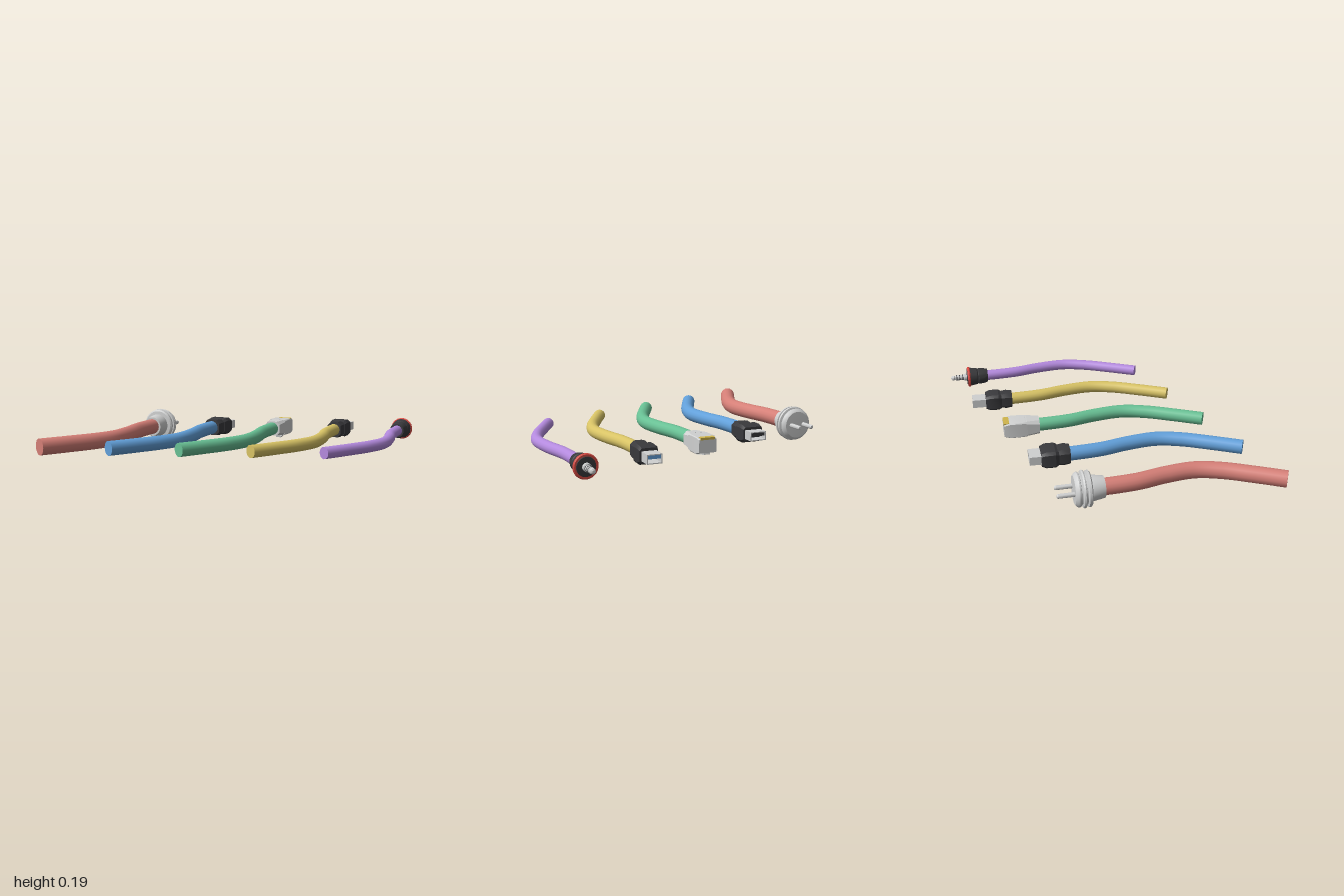
import * as THREE from 'three';
import { toCreasedNormals } from 'three/addons/utils/BufferGeometryUtils.js';

const mat = (name, color) => {
  const m = new THREE.MeshStandardMaterial({ color });
  m.name = name;
  return m;
};

export function createModel() {
  const M = {
    red: mat('red cable', 0xd57f77), blue: mat('blue cable', 0x62a0da),
    green: mat('green cable', 0x68c094), yellow: mat('yellow cable', 0xd8c365),
    purple: mat('purple cable', 0xb48ade), black: mat('black rubber', 0x39393c),
    grey: mat('light grey', 0xcfd0d0), gold: mat('gold contacts', 0xd0b54c),
    ring: mat('red ring', 0xdb4a42),
  };
  const root = new THREE.Group();
  root.name = 'cables';

  const add = (parent, name, geometry, material, x = 0, y = 0, z = 0) => {
    const mesh = new THREE.Mesh(geometry, material);
    mesh.name = name;
    mesh.position.set(x, y, z);
    parent.add(mesh);
    return mesh;
  };

  // Turned part: profile of [radius, distance along the plug]; plugs point to -z
  const turned = (profile, sides = 28) => toCreasedNormals(
    new THREE.LatheGeometry(profile.map(([r, t]) => new THREE.Vector2(r, t)), sides)
      .rotateX(-Math.PI / 2), 0.5);

  // Chamfered loft: sections of [distance, half width, half height, chamfer]
  const loft = (sections) => {
    const pos = [], idx = [];
    for (const [t, w, h, c] of sections) {
      for (const [x, y] of [[w, c - h], [w, h - c], [w - c, h], [c - w, h],
        [-w, h - c], [-w, c - h], [c - w, -h], [w - c, -h]]) pos.push(x, y, -t);
    }
    const last = (sections.length - 1) * 8;
    for (let s = 0; s < last; s += 8) {
      for (let i = 0; i < 8; i++) {
        const j = (i + 1) % 8;
        idx.push(s + i, s + 8 + i, s + j, s + 8 + i, s + 8 + j, s + j);
      }
    }
    for (let i = 1; i < 7; i++) idx.push(0, i, i + 1, last, last + i + 1, last + i);
    const g = new THREE.BufferGeometry();
    g.setAttribute('position', new THREE.Float32BufferAttribute(pos, 3));
    g.setIndex(idx);
    return toCreasedNormals(g, 0.4);
  };

  // Hollow metal sleeve
  const sleeve = (w, h, wall, length) => {
    const rect = (S, a, b) => new S([[-a, -b], [a, -b], [a, b], [-a, b]]
      .map((p) => new THREE.Vector2(...p)));
    const shape = rect(THREE.Shape, w, h);
    shape.holes.push(rect(THREE.Path, w - wall, h - wall));
    return new THREE.ExtrudeGeometry(shape, { depth: length, bevelEnabled: false });
  };

  // All cables share one bend
  const path = new THREE.CatmullRomCurve3([
    [0, 0.52], [0.12, 0.4], [0.23, 0.282], [0.305, 0.165], [0.342, 0.01],
    [0.36, -0.15], [0.404, -0.32], [0.414, -0.35],
  ].map(([x, z]) => new THREE.Vector3(x, 0, z)));

  const powerPlug = (g) => {
    add(g, 'plugBody', turned([
      [0, 0], [0.056, 0], [0.066, 0.055], [0.066, 0.068], [0.085, 0.07], [0.093, 0.076],
      [0.093, 0.088], [0.078, 0.092], [0.078, 0.098], [0.094, 0.101], [0.097, 0.107],
      [0.094, 0.115], [0.078, 0.119], [0.078, 0.125], [0.088, 0.128], [0.09, 0.136],
      [0.085, 0.146], [0.074, 0.155], [0, 0.157],
    ], 32), M.grey);
    for (const s of [-1, 1]) {
      add(g, 'prong', turned([[0, 0.15], [0.012, 0.15], [0.012, 0.239], [0.008, 0.246],
        [0, 0.247]], 14), M.grey, s * 0.039);
    }
  };

  const dataPlug = (w, tip, tongue) => (g) => {
    add(g, 'strainRelief', loft([[0, w * 0.78, 0.045, 0.02], [0.035, w * 0.86, 0.048, 0.02],
      [0.078, w * 0.8, 0.04, 0.016]]), M.black);
    add(g, 'plugBody', loft([[0.062, w * 0.86, 0.04, 0.012], [0.08, w, 0.048, 0.014],
      [0.13, w, 0.048, 0.014], [0.155, w * 0.9, 0.038, 0.012]]), M.black);
    const mw = w * 0.73;
    add(g, 'metalSleeve', sleeve(mw, 0.024, 0.005, tip - 0.14), M.grey, 0, 0, -tip);
    add(g, 'tongue', new THREE.BoxGeometry(mw * 1.8, 0.018, tip - 0.148), tongue,
      0, 0.008, -(tip + 0.132) / 2);
  };

  const networkPlug = (g) => {
    add(g, 'strainRelief', loft([[0, 0.046, 0.042, 0.018], [0.08, 0.052, 0.046, 0.012]]), M.grey);
    add(g, 'plugBody', loft([[0.07, 0.052, 0.046, 0.01], [0.095, 0.053, 0.045, 0.005],
      [0.165, 0.053, 0.045, 0.004], [0.2, 0.048, 0.036, 0.004]]), M.grey);
    add(g, 'contacts', new THREE.BoxGeometry(0.08, 0.012, 0.04), M.gold, 0, 0.038, -0.181);
    // Sloping latch under the body
    add(g, 'latch', new THREE.BoxGeometry(0.034, 0.008, 0.1), M.grey, 0, -0.052, -0.14)
      .rotation.x = 0.18;
  };

  const audioPlug = (g) => {
    add(g, 'strainRelief', turned([[0, 0], [0.04, 0], [0.046, 0.022], [0.05, 0.055],
      [0.045, 0.06], [0.05, 0.066], [0.057, 0.112], [0, 0.112]]), M.black);
    add(g, 'redRing', turned([[0, 0.108], [0.058, 0.108], [0.062, 0.113], [0.062, 0.119],
      [0.057, 0.124], [0, 0.124]]), M.ring);
    add(g, 'frontCap', turned([[0, 0.12], [0.05, 0.12], [0.047, 0.128], [0, 0.13]]), M.black);
    add(g, 'pin', turned([[0, 0.12], [0.021, 0.12], [0.021, 0.145], [0.016, 0.148],
      [0.016, 0.196], [0.01, 0.201], [0.015, 0.209], [0.013, 0.22], [0.006, 0.226],
      [0, 0.227]], 18), M.grey);
    for (const t of [0.152, 0.171, 0.189]) {
      add(g, 'insulator', turned([[0, t], [0.0168, t], [0.0168, t + 0.005], [0, t + 0.005]], 18),
        M.black);
    }
  };

  const cables = [
    ['red', 0.045, powerPlug, 0.31],
    ['blue', 0.039, dataPlug(0.063, 0.218, M.black), 0.335],
    ['green', 0.037, networkPlug, 0.33],
    ['yellow', 0.034, dataPlug(0.053, 0.233, M.blue), 0.345],
    ['purple', 0.031, audioPlug, 0.31],
  ];
  cables.forEach(([name, radius, buildPlug, angle], i) => {
    const group = new THREE.Group();
    group.name = name + 'Cable';
    group.position.set(-0.968 + i * 0.367, 0.097, 0);
    add(group, 'cord', new THREE.TubeGeometry(path, 48, radius, 16), M[name]);
    add(group, 'cordEnd', new THREE.CircleGeometry(radius, 16), M[name], 0, 0, 0.52)
      .rotation.y = -Math.PI / 4;
    const plug = new THREE.Group();
    plug.name = name + 'Plug';
    plug.position.set(0.404, 0, -0.32);
    plug.rotation.y = -angle;
    buildPlug(plug);
    group.add(plug);
    root.add(group);
  });
  return root;
}
